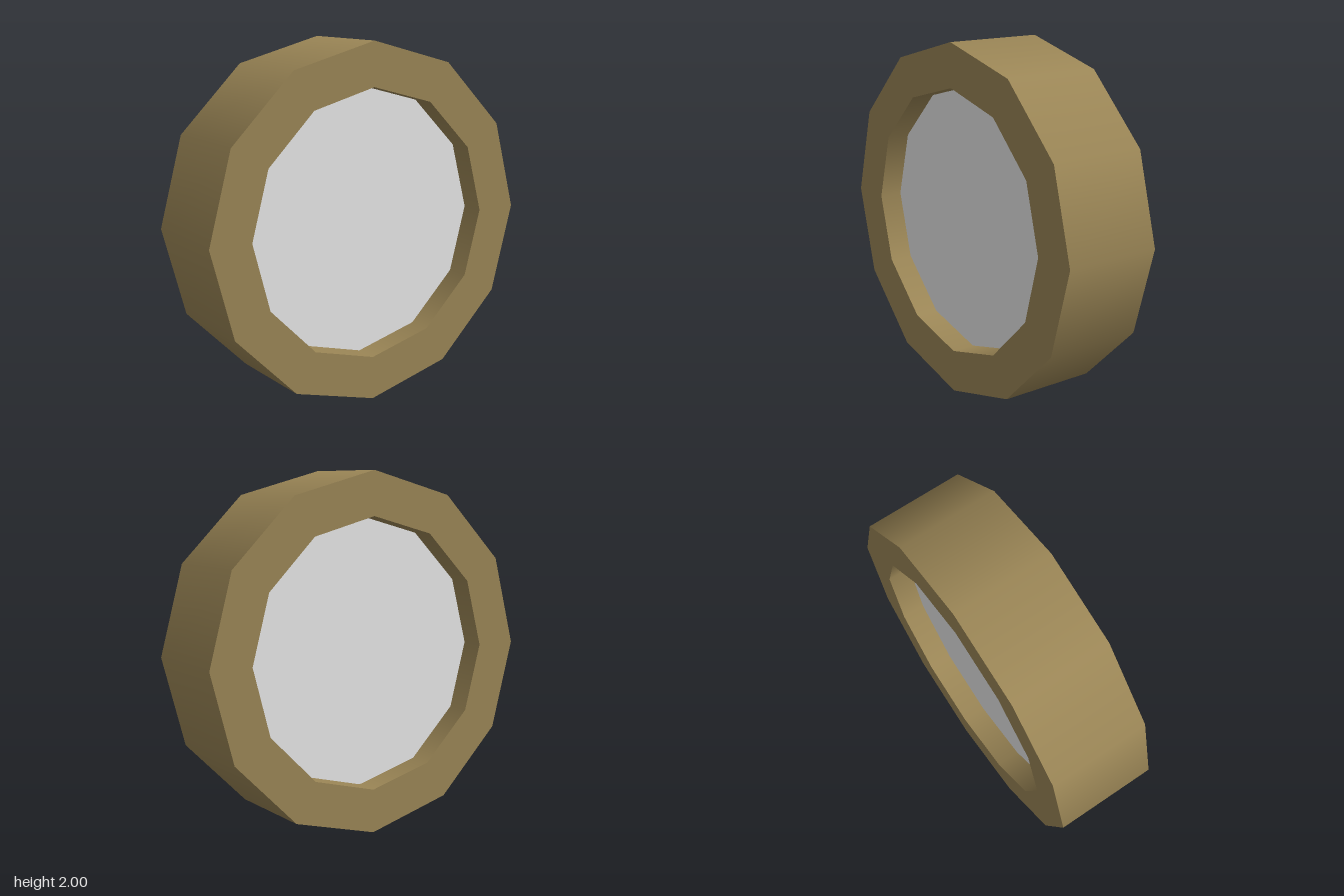
import * as THREE from 'three';

const SIDES = 12, OUTER = 1, INNER = 0.755, HALF = 0.285, PANEL = 0.15;

export function createModel() {
  const model = new THREE.Group();
  model.name = 'framedDisc';

  const frameBrown = new THREE.MeshStandardMaterial({ color: 0x9b8656 });
  frameBrown.name = 'frame brown';
  const panelGrey = new THREE.MeshStandardMaterial({ color: 0xe7e7e7 });
  panelGrey.name = 'panel grey';

  // One twelve-sided band swept around z between two [radius, z] points
  function band(name, from, to) {
    const points = [new THREE.Vector2(...from), new THREE.Vector2(...to)];
    const geometry = new THREE.LatheGeometry(points, SIDES).rotateX(Math.PI / 2);
    const mesh = new THREE.Mesh(geometry, frameBrown);
    mesh.name = name;
    return mesh;
  }

  // Ring frame: separate bands keep the rims sharp and the walls smooth
  const frame = new THREE.Group();
  frame.name = 'frame';
  frame.add(
    band('outerWall', [OUTER, -HALF], [OUTER, HALF]),
    band('frontRim', [OUTER, HALF], [INNER, HALF]),
    band('innerWall', [INNER, HALF], [INNER, -HALF]),
    band('backRim', [INNER, -HALF], [OUTER, -HALF]),
  );

  // Recessed panel faces, front and back
  for (const [name, z, turn] of [['frontPanel', PANEL, 0], ['backPanel', -PANEL, Math.PI]]) {
    const panel = new THREE.Mesh(new THREE.CircleGeometry(INNER, SIDES), panelGrey);
    panel.name = name;
    panel.position.z = z;
    panel.rotation.y = turn;
    frame.add(panel);
  }

  frame.position.y = OUTER;
  model.add(frame);
  return model;
}
